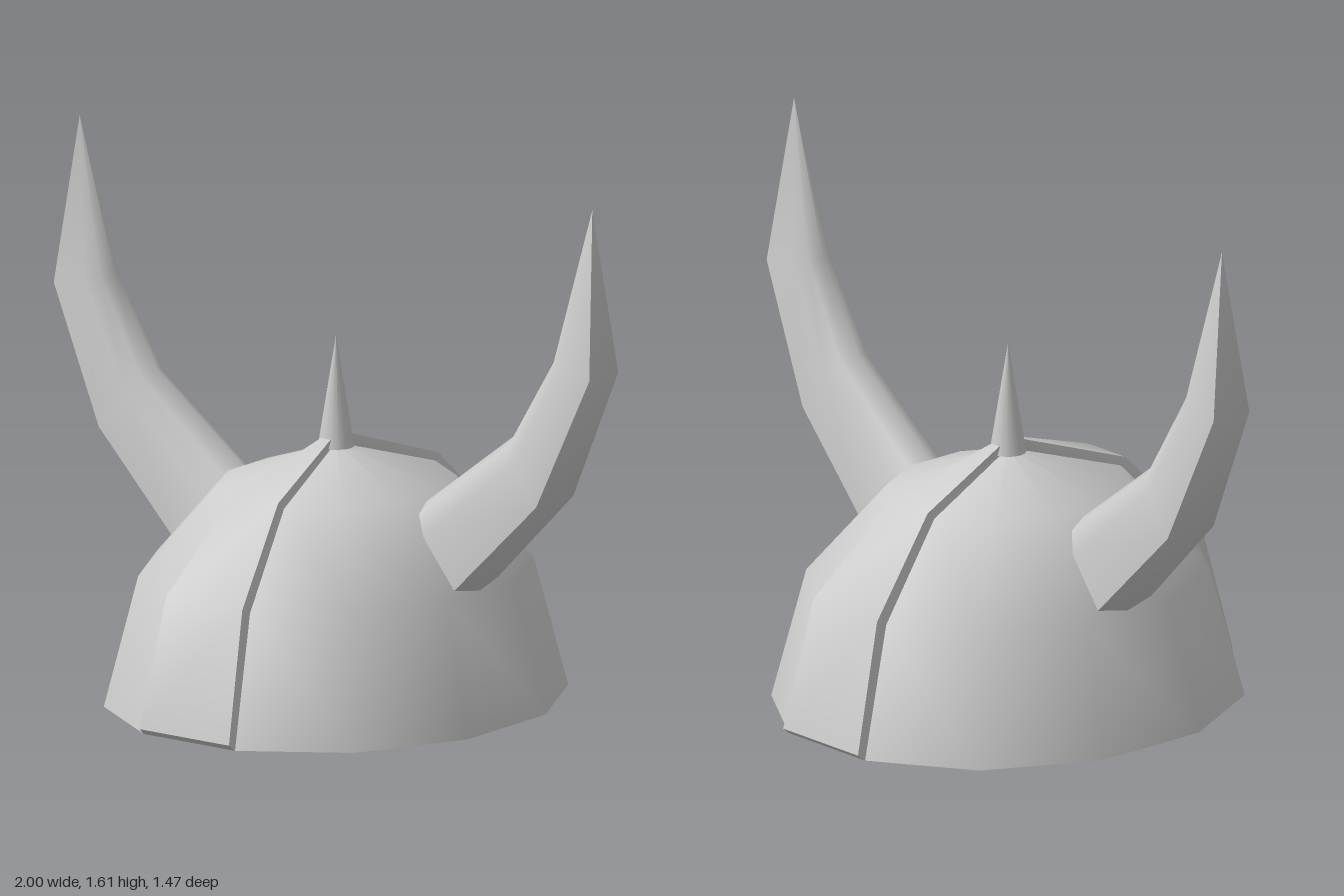
import * as THREE from 'three';
import { toCreasedNormals } from 'three/addons/utils/BufferGeometryUtils.js';

const material = new THREE.MeshStandardMaterial({ color: 0xcccccc, side: THREE.DoubleSide });

// Skin a list of equally long point rows; closed joins the last column to the first
function loft(rows, closed, crease) {
  const n = rows[0].length;
  const index = [];
  for (let i = 0; i < rows.length - 1; i++) {
    for (let j = 0; j < (closed ? n : n - 1); j++) {
      const k = (j + 1) % n;
      const a = i * n + j, b = i * n + k, c = a + n, d = b + n;
      index.push(a, b, d, a, d, c);
    }
  }
  const geometry = new THREE.BufferGeometry();
  geometry.setAttribute('position', new THREE.Float32BufferAttribute(rows.flat(2), 3));
  geometry.setIndex(index);
  return toCreasedNormals(geometry, crease);
}

function add(parent, name, geometry, turned = false) {
  const mesh = new THREE.Mesh(geometry, material);
  mesh.name = name;
  if (turned) mesh.rotation.y = Math.PI;
  parent.add(mesh);
}

// Half of the twelve-sided oval cap, leaving one facet open at front and back
function domeGeometry() {
  const profile = [[1, 0], [0.852, 0.39], [0.515, 0.65], [0.001, 0.765]]
    .map(([r, y]) => new THREE.Vector2(r, y));
  const step = Math.PI / 6;
  const geometry = new THREE.LatheGeometry(profile, 5, step / 2, step * 5);
  geometry.scale(0.65, 1, 0.735);
  return geometry;
}

// Raised strip filling the open facet, with bevelled sides and a closed lower edge
function bandGeometry() {
  // low x, y, z then raised x, y, z
  const stations = [
    [0.168, 0, 0.71, 0.165, 0.02, 0.735],
    [0.143, 0.39, 0.605, 0.14, 0.405, 0.638],
    [0.087, 0.65, 0.366, 0.082, 0.67, 0.388],
    [0.001, 0.765, 0.001, 0.018, 0.785, 0.05],
  ];
  const rows = stations.map(([lx, ly, lz, x, y, z]) =>
    [[-lx, ly, lz], [-x, y, z], [x, y, z], [lx, ly, lz]]);
  const [left, , , right] = rows[0];
  rows.unshift([left, left, right, right]);
  return loft(rows, false, 0.6);
}

// Bent horn with a rounded inner side and a flatter outer side
function hornGeometry() {
  const section = [[1, 0], [0.85, -1], [-0.35, -0.95], [-0.8, -0.6],
    [-1, 0], [-0.8, 0.6], [-0.35, 0.95], [0.85, 1]];
  // inner x, y, outer x, y, half depth
  const stations = [
    [0.333, 0.637, 0.53, 0.397, 0.105],
    [0.66, 0.887, 0.817, 0.693, 0.09],
    [0.815, 1.145, 1, 1.11, 0.07],
    [0.944, 1.61, 0.944, 1.61, 0],
  ];
  const rows = stations.map(([ix, iy, ox, oy, depth]) => section.map(([t, w]) => [
    (ix + ox) / 2 + t * (ox - ix) / 2,
    (iy + oy) / 2 + t * (oy - iy) / 2,
    w * depth,
  ]));
  return loft(rows, true, 1.2);
}

export function createModel() {
  const helmet = new THREE.Group();
  helmet.name = 'hornedHelmet';

  const dome = domeGeometry();
  add(helmet, 'leftDome', dome);
  add(helmet, 'rightDome', dome, true);

  const band = bandGeometry();
  add(helmet, 'frontBand', band);
  add(helmet, 'backBand', band, true);

  const horn = hornGeometry();
  add(helmet, 'leftHorn', horn);
  add(helmet, 'rightHorn', horn, true);

  // Crown spike
  const spike = new THREE.ConeGeometry(0.054, 0.335, 16);
  spike.translate(0, 0.755 + 0.335 / 2, 0);
  add(helmet, 'crownSpike', spike);

  return helmet;
}
